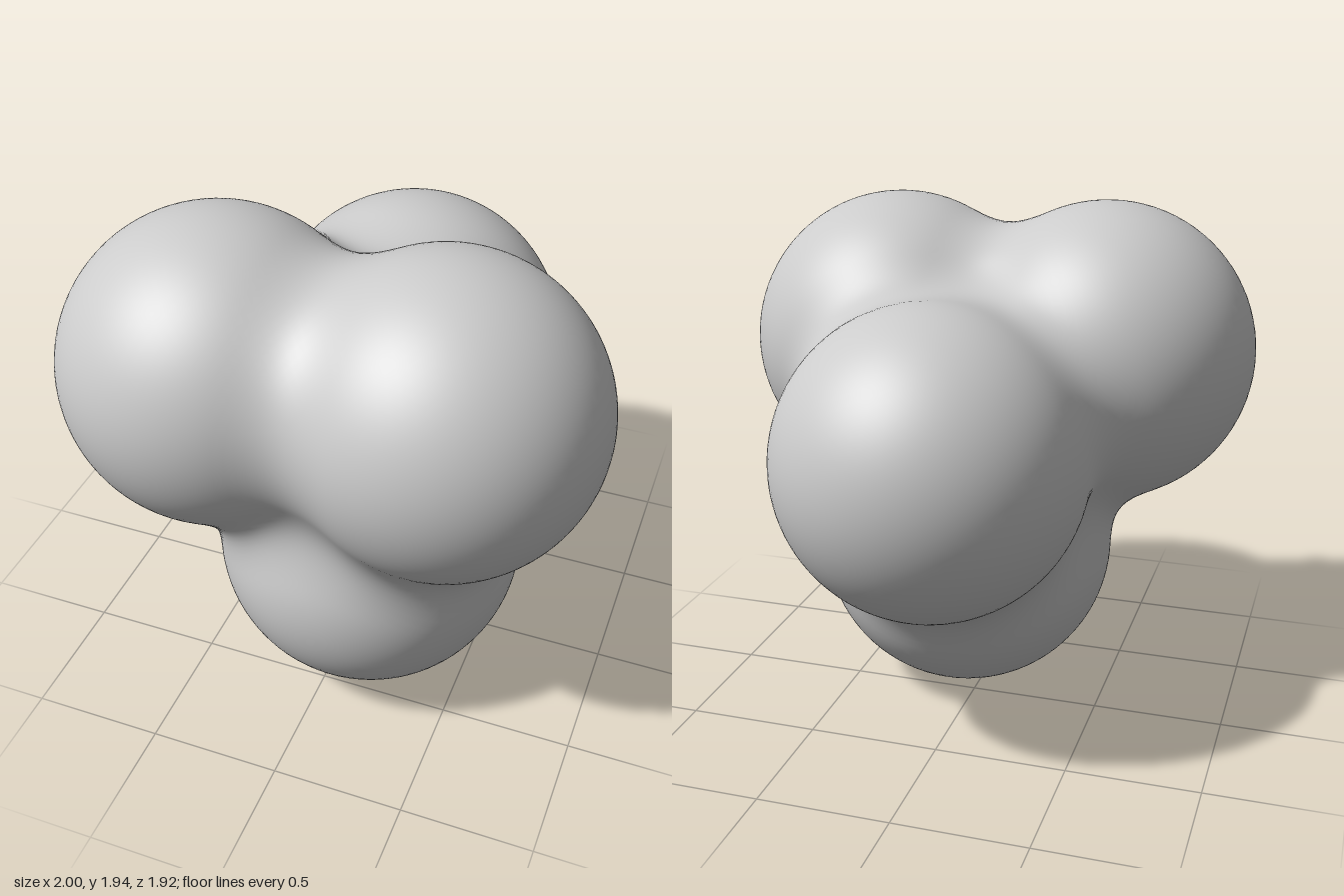
import * as THREE from 'three';
import { mergeVertices } from 'three/addons/utils/BufferGeometryUtils.js';

// Four equal lobes that melt into each other
const R = 0.58;
const BLEND = 0.22;
const LOBES = [
  new THREE.Vector3(0.42, 1.36, 0.38), // left
  new THREE.Vector3(-0.42, 1.36, 0.38), // right
  new THREE.Vector3(0.05, 1.1, -0.38), // back
  new THREE.Vector3(0.09, 0.58, 0.21), // bottom
];
const CORE = new THREE.Vector3(0.03, 1.1, 0.17); // lies inside every lobe

// Smooth minimum of two distances
function smoothMin(a, b) {
  const h = Math.max(BLEND - Math.abs(a - b), 0) / BLEND;
  return Math.min(a, b) - (h * h * BLEND) / 4;
}

// Signed distance to the blended lobes
function distance(p) {
  return LOBES.map((c) => p.distanceTo(c) - R).reduce(smoothMin);
}

export function createModel() {
  const group = new THREE.Group();
  group.name = 'lobedBlob';

  // Welded icosphere, each vertex pushed out from the core to the surface
  let geometry = new THREE.IcosahedronGeometry(1, 28);
  geometry.deleteAttribute('normal');
  geometry.deleteAttribute('uv');
  geometry = mergeVertices(geometry, 1e-5);

  const pos = geometry.attributes.position;
  const dir = new THREE.Vector3();
  const p = new THREE.Vector3();
  for (let i = 0; i < pos.count; i++) {
    dir.fromBufferAttribute(pos, i).normalize();
    let near = 0;
    let far = 2;
    for (let step = 0; step < 24; step++) {
      const mid = (near + far) / 2;
      p.copy(CORE).addScaledVector(dir, mid);
      if (distance(p) < 0) near = mid;
      else far = mid;
    }
    p.copy(CORE).addScaledVector(dir, near);
    pos.setXYZ(i, p.x, p.y, p.z);
  }
  geometry.computeVertexNormals();

  const body = new THREE.Mesh(
    geometry,
    new THREE.MeshStandardMaterial({ color: 0xcccccc })
  );
  body.name = 'blendedLobes';
  group.add(body);
  return group;
}
